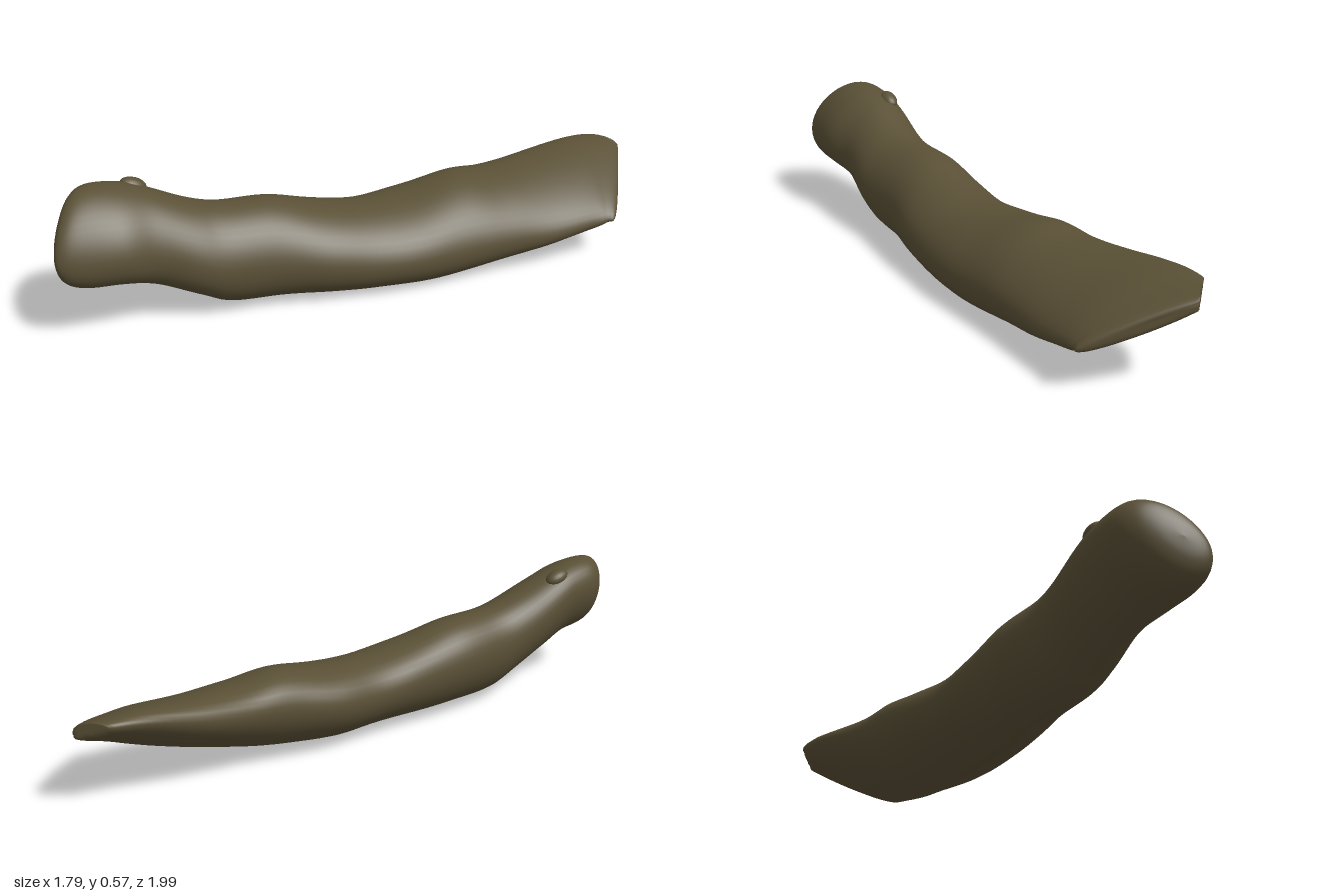
import * as THREE from 'three';

// Cross-sections along the log's diagonal axis:
// [along, side offset, half width, bottom y, top y, tilt, shear of the section along the axis]
const stations = [
  [-1.245, 0.03, 0, 0.39, 0.39, -0.45, -0.4],
  [-1.235, 0.03, 0.085, 0.31, 0.47, -0.45, -0.4],
  [-1.2, 0.02, 0.132, 0.25, 0.54, -0.42, -0.36],
  [-1.13, 0.012, 0.158, 0.22, 0.57, -0.4, -0.25],
  [-1.0, 0.007, 0.168, 0.205, 0.56, -0.35, -0.1],
  [-0.88, -0.01, 0.16, 0.165, 0.525, -0.28, 0],
  [-0.72, -0.005, 0.168, 0.09, 0.455, -0.22, 0],
  [-0.6, -0.006, 0.17, 0.037, 0.425, -0.2, 0],
  [-0.4, -0.015, 0.183, 0.025, 0.412, -0.2, 0],
  [-0.2, 0, 0.2, 0.015, 0.365, -0.22, 0],
  [0, 0.005, 0.211, 0.01, 0.335, -0.25, 0],
  [0.2, -0.003, 0.228, 0.003, 0.345, -0.28, 0],
  [0.42, -0.009, 0.219, 0.02, 0.38, -0.35, 0],
  [0.6, -0.014, 0.217, 0.05, 0.37, -0.45, 0],
  [0.8, -0.025, 0.226, 0.09, 0.378, -0.62, -0.05],
  [1.0, -0.028, 0.226, 0.135, 0.4, -0.78, -0.15],
  [1.1, -0.025, 0.222, 0.16, 0.4, -0.87, -0.32],
  [1.185, -0.01, 0.195, 0.185, 0.38, -0.94, -0.55],
  [1.195, -0.01, 0, 0.29, 0.29, -0.94, -0.55],
];

// Smooth interpolation between neighbouring stations
function sectionAt(t) {
  const last = stations.length - 1;
  const i = Math.min(Math.floor(t), last - 1), f = t - i;
  const p = (k) => stations[Math.max(0, Math.min(last, k))];
  return p(i).map((b, c) => {
    const a = p(i - 1)[c], d = p(i + 1)[c], e = p(i + 2)[c];
    return b + 0.5 * f * (d - a + f * (2 * a - 5 * b + 4 * d - e + f * (3 * (b - d) + e - a)));
  });
}

// From log space (along, height, side) to the model's diagonal placement; the far corner is cut flat at the back
const place = (s, y, w) => [(s + w) * Math.SQRT1_2, y, Math.max(-1, (w - s) * Math.SQRT1_2)];

function logGeometry(steps = 6, sides = 40) {
  const rings = (stations.length - 1) * steps;
  const pos = [], index = [];
  for (let i = 0; i <= rings; i++) {
    const [s, wc, halfW, yb, yt, tilt, shear] = sectionAt(i / steps);
    const W = Math.max(0, halfW), H = Math.max(0, (yt - yb) / 2);
    const phi = Math.asin(tilt);
    for (let j = 0; j < sides; j++) {
      const a = (j / sides) * Math.PI * 2;
      // gentle lumps in the bark
      const lump = 1 + 0.006 * Math.sin(17 * s - 3 * a);
      const w = W * Math.cos(a) * lump;
      const y = (yt + yb) / 2 + H * Math.sin(a + phi) * lump;
      pos.push(...place(s + shear * w, Math.max(0, y), wc + w));
    }
  }
  for (let i = 0; i < rings; i++) {
    for (let j = 0; j < sides; j++) {
      const k = (j + 1) % sides;
      const a = i * sides + j, b = a + sides, c = i * sides + k, d = c + sides;
      index.push(a, b, c, b, d, c);
    }
  }
  const g = new THREE.BufferGeometry();
  g.setAttribute('position', new THREE.Float32BufferAttribute(pos, 3));
  g.setIndex(index);
  g.computeVertexNormals();
  return g;
}

export function createModel() {
  const group = new THREE.Group();
  group.name = 'log';
  const bark = new THREE.MeshStandardMaterial({ color: 0x5a5036 });

  const body = new THREE.Mesh(logGeometry(), bark);
  body.name = 'logBody';
  group.add(body);

  // small knot standing out of the bark near the raised end
  const knot = new THREE.Mesh(new THREE.SphereGeometry(0.03, 16, 12), bark);
  knot.name = 'knot';
  knot.position.set(...place(-0.92, 0.525, -0.1));
  knot.rotation.set(0, Math.PI / 4, -0.35);
  knot.scale.set(1.8, 1, 1.2);
  group.add(knot);
  return group;
}
